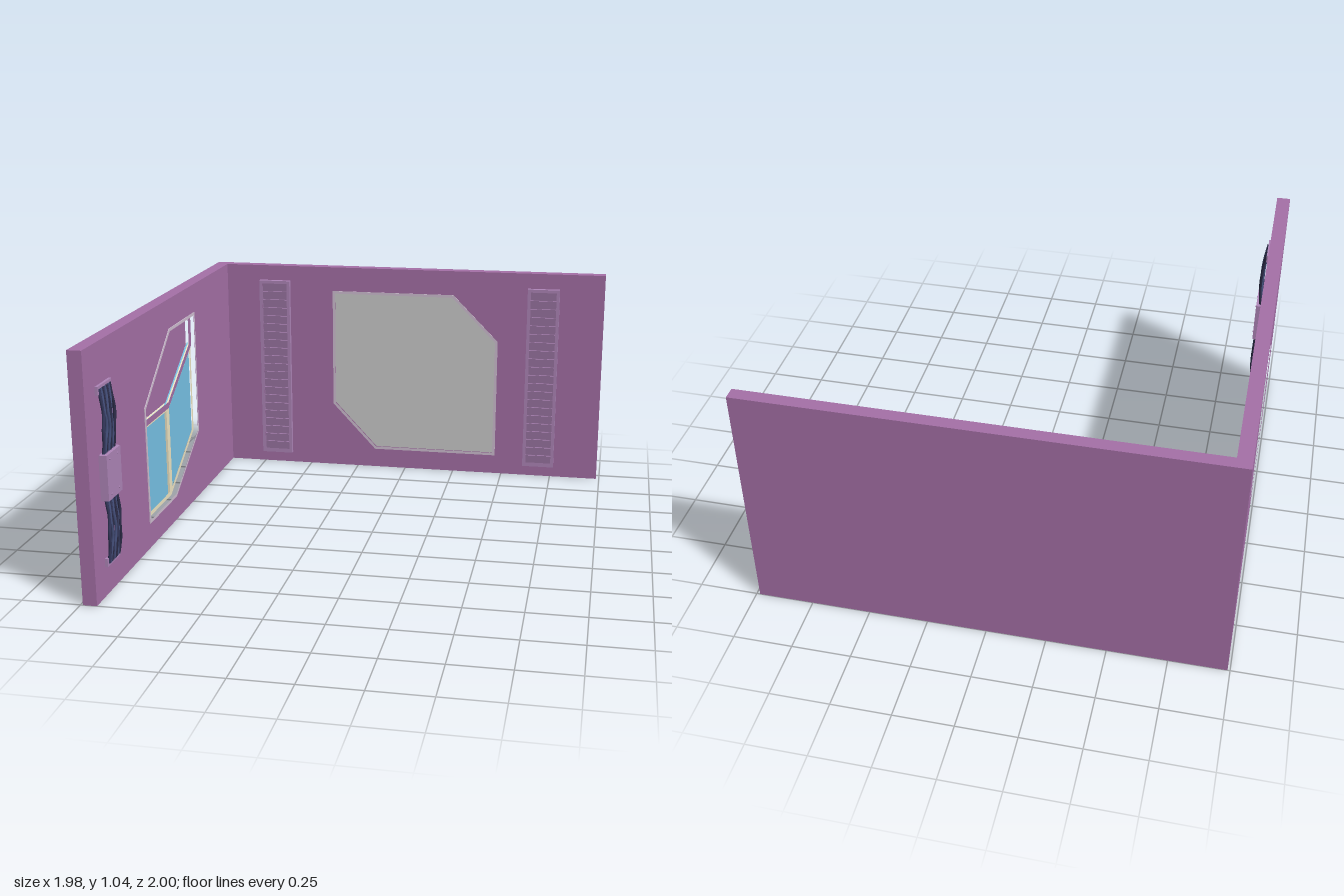
import * as THREE from 'three';

const mat = (color) => new THREE.MeshStandardMaterial({ color, flatShading: true });
const wallMat = mat(0xa570a7), ventMat = mat(0xae85b8), trimMat = mat(0xd0bfd2);
const screenMat = mat(0xcccccc), glassMat = mat(0x78c3e6), creamMat = mat(0xefe6c4);
const cableMats = [0x34385c, 0x45507c, 0x2c2c48].map((c) => new THREE.MeshStandardMaterial({ color: c }));

function add(parent, name, geometry, material, x = 0, y = 0, z = 0) {
  const mesh = new THREE.Mesh(geometry, material);
  mesh.name = name;
  mesh.position.set(x, y, z);
  parent.add(mesh);
  return mesh;
}

function box(parent, name, material, x0, x1, y0, y1, z0, z1) {
  const g = new THREE.BoxGeometry(x1 - x0, y1 - y0, z1 - z0);
  return add(parent, name, g, material, (x0 + x1) / 2, (y0 + y1) / 2, (z0 + z1) / 2);
}

// Polygon plate between two depths, with an optional polygon opening
function plate(parent, name, material, points, z0, z1, hole) {
  const toVec = (list) => list.map(([x, y]) => new THREE.Vector2(x, y));
  const shape = new THREE.Shape(toVec(points));
  if (hole) shape.holes.push(new THREE.Path(toVec(hole)));
  const g = new THREE.ExtrudeGeometry(shape, { depth: z1 - z0, bevelEnabled: false });
  return add(parent, name, g, material, 0, 0, z0);
}

// Moves every edge of a clockwise polygon outward by d (inward if negative)
function offset(points, d) {
  const n = points.length;
  return points.map((p, i) => {
    const a = points[(i + n - 1) % n], b = points[(i + 1) % n];
    const normal = (s, e) => {
      const l = Math.hypot(e[0] - s[0], e[1] - s[1]);
      return [-(e[1] - s[1]) / l, (e[0] - s[0]) / l];
    };
    const m = normal(a, p), k = normal(p, b);
    const f = d / (1 + m[0] * k[0] + m[1] * k[1]);
    return [p[0] + (m[0] + k[0]) * f, p[1] + (m[1] + k[1]) * f];
  });
}

const rect = (x0, x1, y0, y1) => [[x0, y0], [x0, y1], [x1, y1], [x1, y0]];
const H = 1.045;

// Framed vent with tilted slats
function vent(parent, name, x0) {
  const g = new THREE.Group();
  g.name = name;
  parent.add(g);
  const x1 = x0 + 0.157, z = -0.945;
  plate(g, 'ventFrame', ventMat, rect(x0, x1, 0.055, 0.97), z, z + 0.024,
    rect(x0 + 0.015, x1 - 0.015, 0.07, 0.955));
  box(g, 'ventBack', ventMat, x0 + 0.01, x1 - 0.01, 0.06, 0.965, z - 0.002, z + 0.004);
  const count = 21, pitch = 0.885 / count;
  for (let i = 0; i < count; i++) {
    const y = 0.07 + pitch * (i + 0.5);
    const slat = box(g, 'ventSlat', ventMat, x0 + 0.015, x1 - 0.015, y - 0.021, y + 0.021, z + 0.008, z + 0.012);
    slat.rotation.x = 0.2;
  }
}

// Back wall with a recessed screen and two vents
function backWall() {
  const g = new THREE.Group();
  g.name = 'backWall';
  const outline = [[-0.37, 0.335], [-0.37, 0.915], [0.235, 0.915], [0.457, 0.69], [0.457, 0.105], [-0.155, 0.105]];
  box(g, 'wallCore', wallMat, -0.93, 0.985, 0, H, -1, -0.965);
  plate(g, 'wallFace', wallMat, rect(-0.93, 0.985, 0, H), -0.965, -0.945, outline);
  plate(g, 'screen', screenMat, outline, -0.966, -0.962);
  plate(g, 'screenTrim', trimMat, offset(outline, 0.009), -0.95, -0.942, offset(outline, -0.004));
  vent(g, 'leftVent', 0.61);
  vent(g, 'rightVent', -0.757);
  return g;
}

// Six-sided window: two panes below, sliding shutter above
function sideWindow(parent, hex) {
  const g = new THREE.Group();
  g.name = 'window';
  parent.add(g);
  plate(g, 'windowTrim', trimMat, offset(hex, 0.008), 0.055, 0.063, offset(hex, -0.006));
  const lower = [[-0.355, 0.12], [-0.355, 0.55], [0, 0.55], [0.36, 0.765], [0.36, 0.33], [0, 0.12]];
  plate(g, 'glass', glassMat, lower, 0.02, 0.028);
  plate(g, 'glassFrame', creamMat, lower, 0.01, 0.038, offset(lower, -0.02));
  box(g, 'mullion', creamMat, -0.018, 0.018, 0.13, 0.55, 0.01, 0.038);
  const upper = [[-0.355, 0.54], [-0.355, 0.635], [0, 0.905], [0.36, 0.905], [0.36, 0.755], [0, 0.54]];
  const inner = [[-0.31, 0.568], [-0.31, 0.664], [0, 0.9], [0.322, 0.9], [0.322, 0.765], [0, 0.568]];
  plate(g, 'shutterFrame', wallMat, upper, 0.006, 0.043, inner);
  plate(g, 'shutterPanel', wallMat, offset(inner, 0.002), 0.014, 0.028);
}

// Bundle of wavy cables held by two clips and a junction box
function cableRun(parent) {
  const g = new THREE.Group();
  g.name = 'cableRun';
  g.position.set(-0.82, 0, 0.06);
  parent.add(g);
  box(g, 'junctionBox', ventMat, -0.075, 0.075, 0.407, 0.597, 0, 0.034);
  for (const x of [-0.042, 0.042]) for (const y of [0.43, 0.575]) {
    const screw = add(g, 'screw', new THREE.CylinderGeometry(0.004, 0.004, 0.004, 8), ventMat, x, y, 0.035);
    screw.rotation.x = Math.PI / 2;
  }
  for (const s of [-1, 1]) {
    const at = (d) => 0.5 + s * d;
    const bar = (name, x0, x1, d0, d1, z1) =>
      box(g, name, ventMat, x0, x1, Math.min(at(d0), at(d1)), Math.max(at(d0), at(d1)), 0, z1);
    bar('clipBar', -0.073, 0.073, 0.36, 0.376, 0.012);
    bar('clipEar', -0.073, -0.06, 0.34, 0.36, 0.012);
    bar('clipEar', 0.06, 0.073, 0.34, 0.36, 0.012);
    for (let i = 0; i < 9; i++) {
      const x = -0.054 + i * 0.0135;
      const points = [];
      for (let j = 0; j <= 8; j++) {
        const t = j / 8;
        const sway = Math.sin(i * 2.4 + j * 1.3 + s) * 0.007 * Math.sin(Math.PI * t);
        const lift = 0.008 + (0.014 + 0.004 * Math.sin(i * 1.7)) * Math.sin(Math.PI * Math.min(1, 0.1 + t * 0.85));
        points.push(new THREE.Vector3(x + sway, at(0.09 + 0.275 * t), lift));
      }
      const path = new THREE.CatmullRomCurve3(points);
      add(g, 'cable', new THREE.TubeGeometry(path, 24, 0.0068, 7), cableMats[i % 3]);
    }
  }
}

// Side wall, built facing +z and turned to face +x
function sideWall() {
  const g = new THREE.Group();
  g.name = 'sideWall';
  g.rotation.y = Math.PI / 2;
  g.position.x = -0.99;
  const hex = [[-0.355, 0.12], [-0.355, 0.635], [0, 0.905], [0.36, 0.905], [0.36, 0.33], [0, 0.12]];
  plate(g, 'wallPanel', wallMat, rect(-1, 1, 0, H), 0, 0.06, hex);
  sideWindow(g, hex);
  cableRun(g);
  return g;
}

export function createModel() {
  const model = new THREE.Group();
  model.name = 'roomCorner';
  model.add(backWall(), sideWall());
  return model;
}
